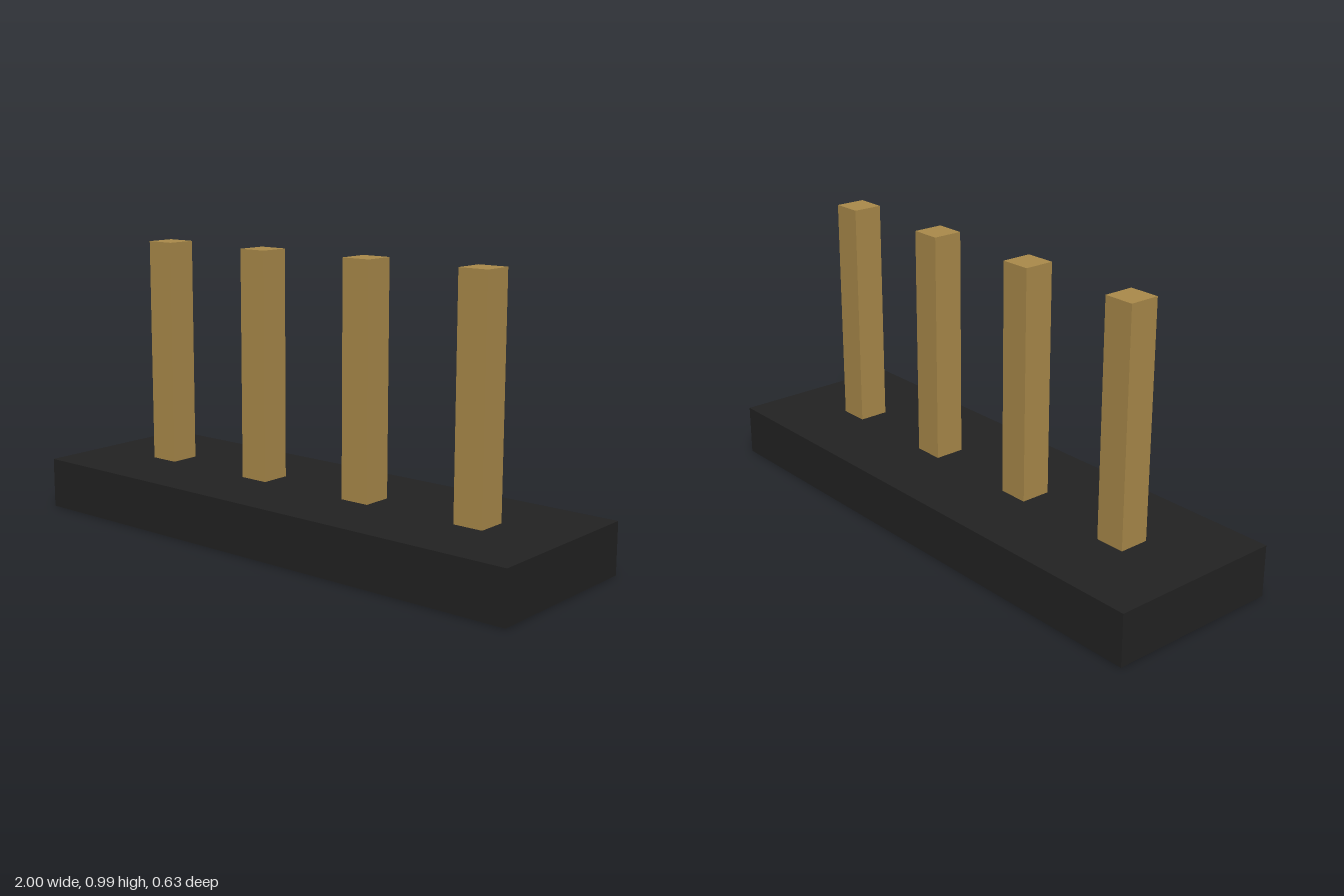
import * as THREE from 'three';

const BASE = { width: 2, height: 0.18, depth: 0.635 };
const PIN = { side: 0.108, height: 0.807, pitch: 0.4545, count: 4 };

export function createModel() {
  const model = new THREE.Group();
  model.name = 'pinHeader';

  const black = new THREE.MeshStandardMaterial({ color: 0x222222 });
  black.name = 'black plastic';
  const gold = new THREE.MeshStandardMaterial({ color: 0xaa8a4a });
  gold.name = 'gold metal';

  // Flat base block
  const base = new THREE.Mesh(new THREE.BoxGeometry(BASE.width, BASE.height, BASE.depth), black);
  base.name = 'base';
  base.position.y = BASE.height / 2;
  model.add(base);

  // Row of evenly spaced square pins standing on the base
  const pinGeometry = new THREE.BoxGeometry(PIN.side, PIN.height, PIN.side);
  for (let i = 0; i < PIN.count; i++) {
    const pin = new THREE.Mesh(pinGeometry, gold);
    pin.name = `pin${i + 1}`;
    pin.position.set((i - (PIN.count - 1) / 2) * PIN.pitch, BASE.height + PIN.height / 2, 0);
    model.add(pin);
  }

  return model;
}
